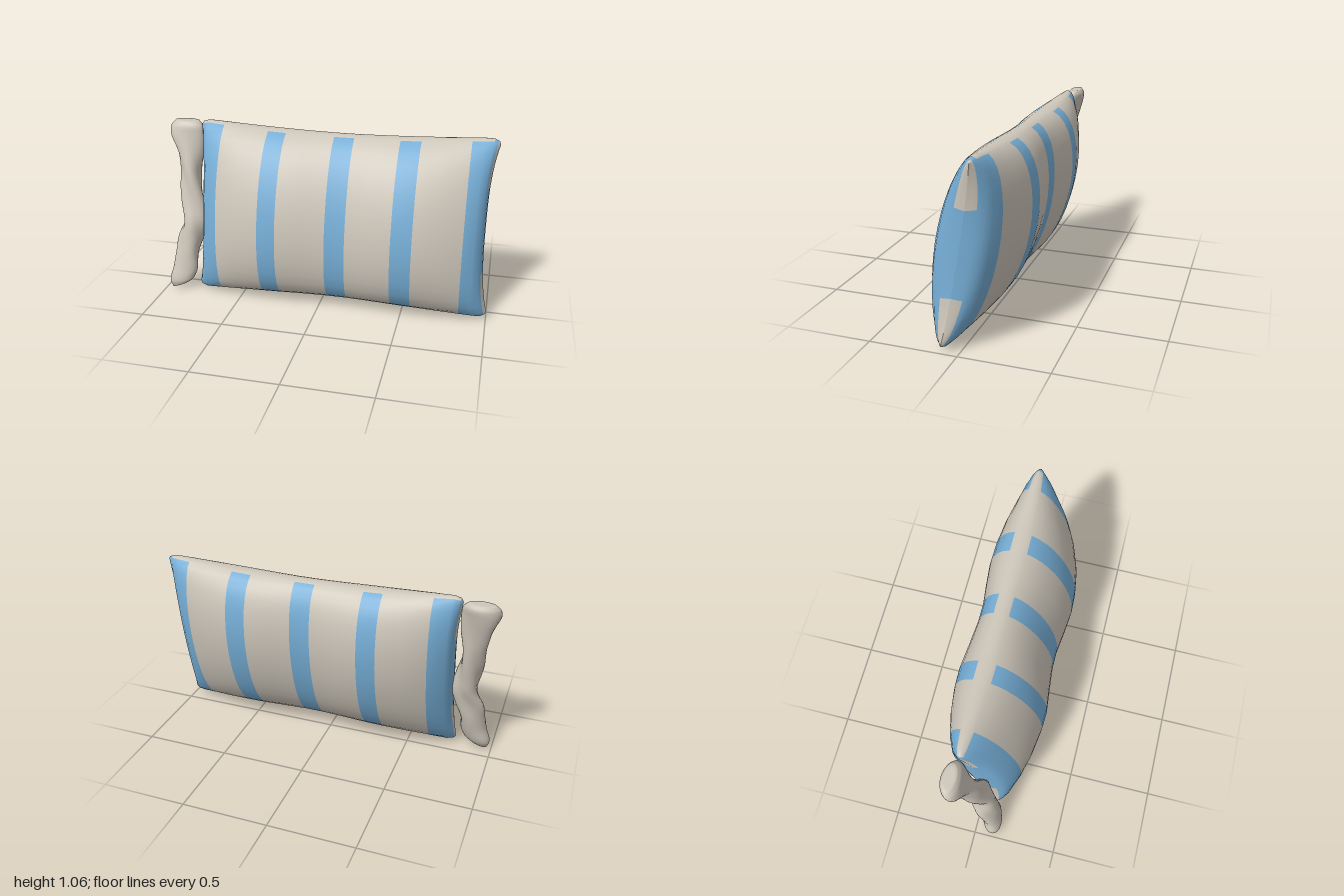
import * as THREE from 'three';

const cream = new THREE.MeshStandardMaterial({ color: 0xcdc6ba });
cream.name = 'cream fabric';
const blue = new THREE.MeshStandardMaterial({ color: 0x76aed6 });
blue.name = 'blue stripe';

const CENTRE_Y = 0.525;
const lean = (y) => -0.18 * (y - CENTRE_Y); // the cushion tilts backwards

// Joins rings of points into one smooth skin; colourOf picks a material per quad
function skin(rings, colourOf) {
  const n = rings[0].length;
  const lists = [[], []];
  for (let i = 0; i < rings.length - 1; i++) {
    for (let j = 0; j < n; j++) {
      const k = (j + 1) % n;
      const a = i * n + j, b = a + n, c = (i + 1) * n + k, d = i * n + k;
      lists[colourOf(i, j)].push(a, b, c, a, c, d);
    }
  }
  const geo = new THREE.BufferGeometry();
  geo.setAttribute('position', new THREE.Float32BufferAttribute(rings.flat(2), 3));
  geo.setIndex([...lists[0], ...lists[1]]);
  geo.addGroup(0, lists[0].length, 0);
  geo.addGroup(lists[0].length, lists[1].length, 1);
  geo.computeVertexNormals();
  return geo;
}

// Angles round the cushion, with a row on each edge of the cream seam band
function cushionAngles() {
  const edge = Math.acos(0.2), quarter = [];
  for (let i = 0; i < 8; i++) quarter.push((edge * i) / 8);
  quarter.push(edge, (edge + Math.PI / 2) / 2);
  const half = [...quarter, Math.PI / 2, ...quarter.slice(1).reverse().map((t) => Math.PI - t)];
  return [...half, ...half.map((t) => t + Math.PI)];
}

function makeCushion() {
  // x position, half thickness
  const profile = [
    [-0.755, 0], [-0.75, 0.04], [-0.742, 0.08], [-0.72, 0.125], [-0.63, 0.18],
    [-0.5, 0.22], [-0.35, 0.245], [-0.24, 0.25], [-0.1, 0.233], [0.05, 0.217],
    [0.17, 0.217], [0.3, 0.235], [0.44, 0.25], [0.56, 0.245], [0.7, 0.222],
    [0.84, 0.175], [0.9, 0.145], [0.935, 0.11], [0.945, 0.07], [0.952, 0.04], [0.956, 0],
  ];
  const stripes = [[-1, -0.63], [-0.35, -0.24], [0.05, 0.17], [0.44, 0.56], [0.84, 1]];
  const angles = cushionAngles();
  const rings = profile.map(([x, t]) => {
    const end = THREE.MathUtils.clamp((0.18 - t) / 0.1, 0, 1); // pinched ends
    const h = 0.487 + 0.03 * ((x - 0.1) / 0.8) ** 2 - 0.035 * Math.max(0, 1 - t / 0.12);
    return angles.map((a) => {
      const s = Math.sin(a);
      const y = CENTRE_Y + h * s;
      const pull = x > 0 ? 0.044 : -0.03; // corners reach out past the middle
      return [x + pull * end * Math.abs(s) ** 3, y, t * Math.cos(a) + lean(y)];
    });
  });
  const geo = skin(rings, (i, j) => {
    const x = (profile[i][0] + profile[i + 1][0]) / 2;
    const t = Math.max(profile[i][1], profile[i + 1][1]);
    const next = j + 1 < angles.length ? angles[j + 1] : Math.PI * 2;
    const a = (angles[j] + next) / 2;
    const striped = stripes.some(([l, r]) => x > l && x < r);
    const seam = Math.abs(Math.cos(a)) < 0.2 && t > 0.12;
    const cornerPatch = t < 0.075 && Math.abs(Math.sin(a)) > 0.49;
    return striped && !seam && !cornerPatch ? 1 : 0;
  });
  const mesh = new THREE.Mesh(geo, [cream, blue]);
  mesh.name = 'stripedCushion';
  return mesh;
}

function makeTwistedRoll() {
  // height, centre x, half width, half depth, from bottom to top
  const stations = [
    [0.01, -0.91, 0.062, 0.035], [0.04, -0.91, 0.078, 0.05], [0.12, -0.882, 0.078, 0.055],
    [0.22, -0.87, 0.072, 0.06], [0.32, -0.852, 0.08, 0.06], [0.42, -0.826, 0.073, 0.065],
    [0.52, -0.836, 0.07, 0.06], [0.62, -0.85, 0.066, 0.06], [0.72, -0.86, 0.062, 0.06],
    [0.84, -0.87, 0.082, 0.055], [0.95, -0.89, 0.106, 0.055], [1.0, -0.888, 0.1, 0.052],
    [1.027, -0.888, 0.075, 0.035],
  ];
  const place = new THREE.CatmullRomCurve3(stations.map(([y, x]) => new THREE.Vector3(x, y, 0)));
  const size = new THREE.CatmullRomCurve3(stations.map(([y, , w, d]) => new THREE.Vector3(w, d, y)));
  const steps = 48, sides = 24, rings = [];
  const addRing = (t, scale) => {
    const p = place.getPoint(t), s = size.getPoint(t);
    const ring = [];
    for (let j = 0; j < sides; j++) {
      const a = (j / sides) * Math.PI * 2;
      // spiralling folds
      const r = scale * (1 + 0.14 * Math.cos(3 * a + 14 * p.y) * Math.sin(Math.PI * t));
      const sag = 0.025 * Math.cos(a) * (t < 0.15 ? 1 - t / 0.15 : 0);
      ring.push([p.x + s.x * r * Math.cos(a), p.y + sag * scale,
        -0.215 * (p.y - 0.5) - s.y * r * Math.sin(a)]);
    }
    rings.push(ring);
  };
  addRing(0, 0);
  addRing(0, 0.7);
  for (let i = 0; i <= steps; i++) addRing(i / steps, 1);
  addRing(1, 0.7);
  addRing(1, 0);
  // rings run upwards, so each one turns clockwise seen from above its far end
  const mesh = new THREE.Mesh(skin(rings.map((r) => r.slice().reverse()), () => 0), [cream, blue]);
  mesh.name = 'twistedRoll';
  return mesh;
}

export function createModel() {
  const group = new THREE.Group();
  group.name = 'stripedPillow';
  const roll = makeTwistedRoll();
  // Faces must point outwards: test the signed volume and flip if needed
  for (const mesh of [makeCushion(), roll]) {
    const pos = mesh.geometry.attributes.position, index = mesh.geometry.index;
    const [a, b, c] = [0, 1, 2].map(() => new THREE.Vector3());
    let volume = 0;
    for (let i = 0; i < index.count; i += 3) {
      [a, b, c].forEach((v, k) => v.fromBufferAttribute(pos, index.getX(i + k)));
      volume += a.dot(b.cross(c));
    }
    if (volume < 0) {
      index.array.reverse();
      const [first, second] = mesh.geometry.groups;
      second.start = 0;
      first.start = second.count;
      mesh.geometry.computeVertexNormals();
    }
    group.add(mesh);
  }
  return group;
}
